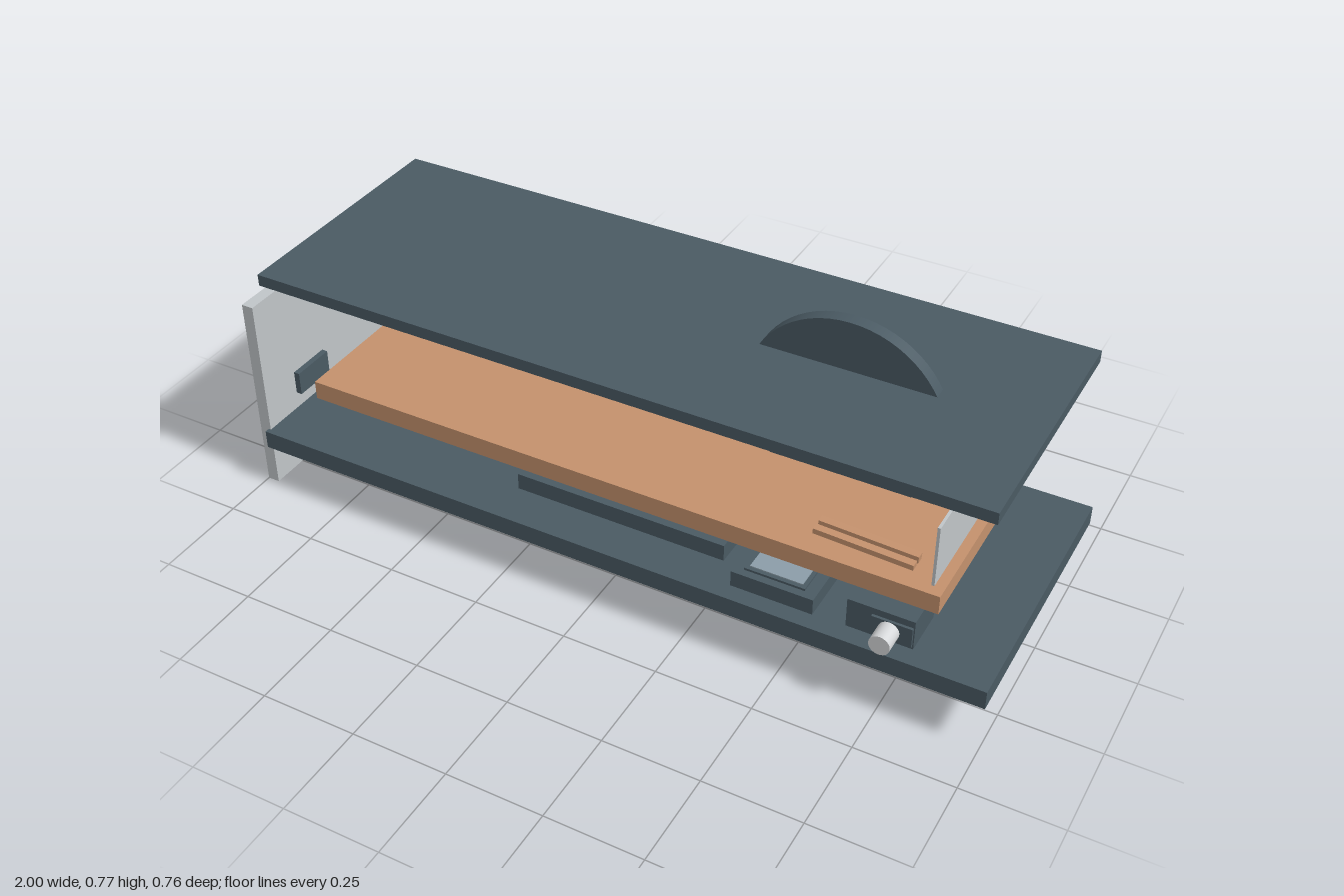
import * as THREE from 'three';

export function createModel() {
  const model = new THREE.Group();
  const mat = (name, color) => {
    const m = new THREE.MeshStandardMaterial({ color });
    m.name = name;
    return m;
  };
  const slate = mat('slate', 0x4a5a63);
  const blueGrey = mat('blue grey', 0x8b9da8);
  const paleGrey = mat('pale grey', 0xc0c5c8);
  const copper = mat('copper', 0xc4916d);
  const brass = mat('brass', 0xc9b26e);
  const silver = mat('silver', 0xd4d6d8);

  const add = (name, geometry, material, x, y, z) => {
    const mesh = new THREE.Mesh(geometry, material);
    mesh.name = name;
    mesh.position.set(x, y, z);
    model.add(mesh);
    return mesh;
  };
  // Box given by its extents on each axis
  const box = (name, material, [x0, x1], [y0, y1], [z0, z1]) =>
    add(name, new THREE.BoxGeometry(x1 - x0, y1 - y0, z1 - z0), material,
      (x0 + x1) / 2, (y0 + y1) / 2, (z0 + z1) / 2);
  // Cylinder lying along z
  const disc = (name, material, r, x, y, z0, z1, sides = 64) =>
    add(name, new THREE.CylinderGeometry(r, r, z1 - z0, sides).rotateX(Math.PI / 2),
      material, x, y, (z0 + z1) / 2);

  // Large stacked panels
  box('basePlate', slate, [-0.975, 1], [0.12, 0.17], [-0.362, 0.365]);
  box('middleTray', copper, [-0.835, 0.853], [0.291, 0.341], [-0.305, 0.31]);
  box('topLid', slate, [-0.947, 0.966], [0.61, 0.641], [-0.333, 0.338]);

  // Upright panels
  box('endPanel', paleGrey, [-1, -0.968], [0, 0.545], [-0.347, 0.352]);
  box('endPanelButton', slate, [-0.968, -0.952], [0.215, 0.279], [0.115, 0.235]);
  box('innerPanel', paleGrey, [0.821, 0.828], [0.341, 0.504], [-0.276, 0.282]);

  // Wheel with hub and rear lever
  disc('wheel', slate, 0.253, 0.482, 0.517, -0.014, 0.02);
  disc('wheelHub', blueGrey, 0.07, 0.482, 0.547, -0.022, 0.028, 40);
  const lever = add('wheelLever', new THREE.BoxGeometry(0.16, 0.017, 0.04), slate, 0.59, 0.545, -0.072);
  lever.rotation.y = -Math.PI / 6;

  // Stepped module on the base
  box('moduleBody', slate, [-0.275, 0.297], [0.17, 0.215], [-0.255, 0.25]);
  box('moduleCover', blueGrey, [-0.182, 0.203], [0.215, 0.244], [-0.168, 0.175]);
  box('moduleCap', blueGrey, [-0.14, 0.16], [0.244, 0.25], [-0.13, 0.135]);

  // Small display unit
  box('displayBody', slate, [0.35, 0.56], [0.17, 0.213], [0.147, 0.32]);
  box('displayFrame', slate, [0.375, 0.53], [0.213, 0.219], [0.17, 0.3]);
  box('displayScreen', blueGrey, [0.385, 0.52], [0.219, 0.222], [0.18, 0.29]);

  // Control block with knob
  box('controlBlock', slate, [0.643, 0.808], [0.175, 0.255], [0.2, 0.321]);
  box('knobFlange', slate, [0.705, 0.805], [0.183, 0.237], [0.321, 0.328]);
  disc('knob', silver, 0.026, 0.749, 0.21, 0.328, 0.382, 32);

  // Pair of slim bars resting on the tray
  for (const [i, z] of [0.225, 0.255].entries()) {
    const bar = add('trayBar' + (i + 1), new THREE.BoxGeometry(0.245, 0.018 - i * 0.004, 0.02), copper,
      0.648, 0.36, z);
    bar.rotation.z = -0.04;
  }

  // Trim strip below the rear edge
  box('rearStrip', brass, [-0.392, 0.41], [0.083, 0.103], [-0.381, -0.345]);

  return model;
}
